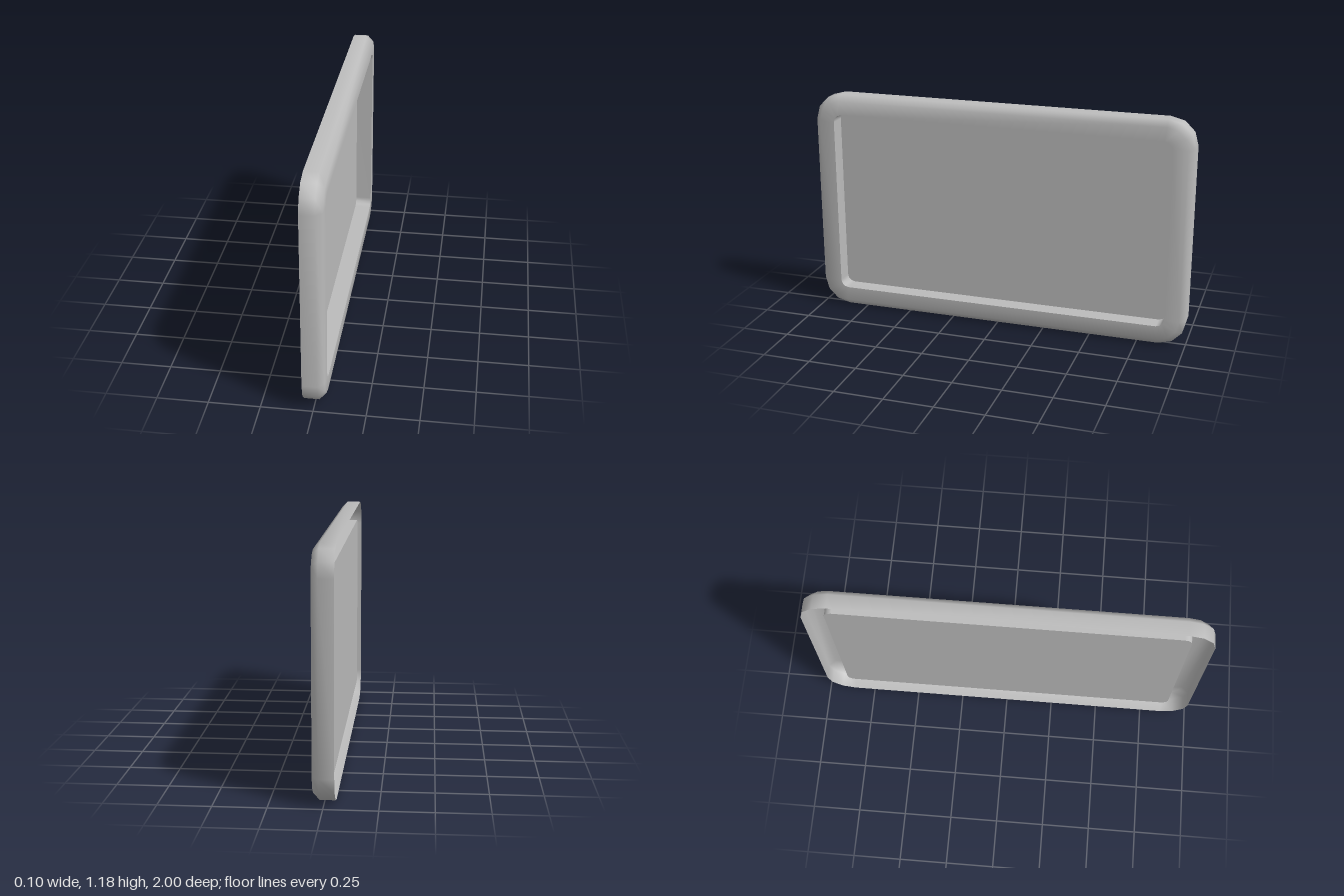
import * as THREE from 'three';

const CENTER_Y = 0.59;
const CORNER_STEPS = 3;

// Rounded rectangle in the plane at x, counter-clockwise as seen from +x
function roundedLoop([x, halfZ, halfY, radius]) {
  const points = [];
  for (let corner = 0; corner < 4; corner++) {
    const sx = corner === 0 || corner === 3 ? 1 : -1;
    const sy = corner < 2 ? 1 : -1;
    for (let i = 0; i <= CORNER_STEPS; i++) {
      const a = (corner + i / CORNER_STEPS) * Math.PI / 2;
      const u = sx * (halfZ - radius) + radius * Math.cos(a);
      const v = sy * (halfY - radius) + radius * Math.sin(a);
      points.push([x, CENTER_Y + v, -u]);
    }
  }
  return points;
}

// Smooth band joining successive loops
function loft(sections) {
  const loops = sections.map(roundedLoop);
  const n = loops[0].length;
  const index = [];
  for (let k = 0; k < loops.length - 1; k++) {
    for (let j = 0; j < n; j++) {
      const a = k * n + j, a2 = k * n + (j + 1) % n;
      const b = a + n, b2 = a2 + n;
      index.push(a, a2, b2, a, b2, b);
    }
  }
  return makeGeometry(loops.flat(), index);
}

// Flat cap filling one loop
function cap(section) {
  const points = roundedLoop(section);
  const index = [];
  for (let j = 1; j < points.length - 1; j++) index.push(0, j, j + 1);
  return makeGeometry(points, index);
}

function makeGeometry(points, index) {
  const geometry = new THREE.BufferGeometry();
  geometry.setAttribute('position', new THREE.Float32BufferAttribute(points.flat(), 3));
  geometry.setIndex(index);
  geometry.computeVertexNormals();
  return geometry;
}

export function createModel() {
  const group = new THREE.Group();
  group.name = 'framedTray';
  const grey = new THREE.MeshStandardMaterial({ color: 0xbcbcbc, side: THREE.DoubleSide });
  grey.name = 'grey';

  const add = (name, geometry) => {
    const mesh = new THREE.Mesh(geometry, grey);
    mesh.name = name;
    group.add(mesh);
  };

  // Sections are [x, half length, half height, corner radius]
  const opening = [0.052, 0.89, 0.485, 0.04];
  const floor = [-0.035, 0.89, 0.485, 0.04];

  // Open-backed outer shell: side wall, bevel and front border
  add('frameShell', loft([
    [-0.052, 1, 0.59, 0.14],
    [0.02, 1, 0.59, 0.14],
    [0.052, 0.968, 0.558, 0.11],
    opening,
  ]));

  // Recess behind the opening
  add('recessWall', loft([opening, floor]));
  add('recessFloor', cap(floor));

  return group;
}
